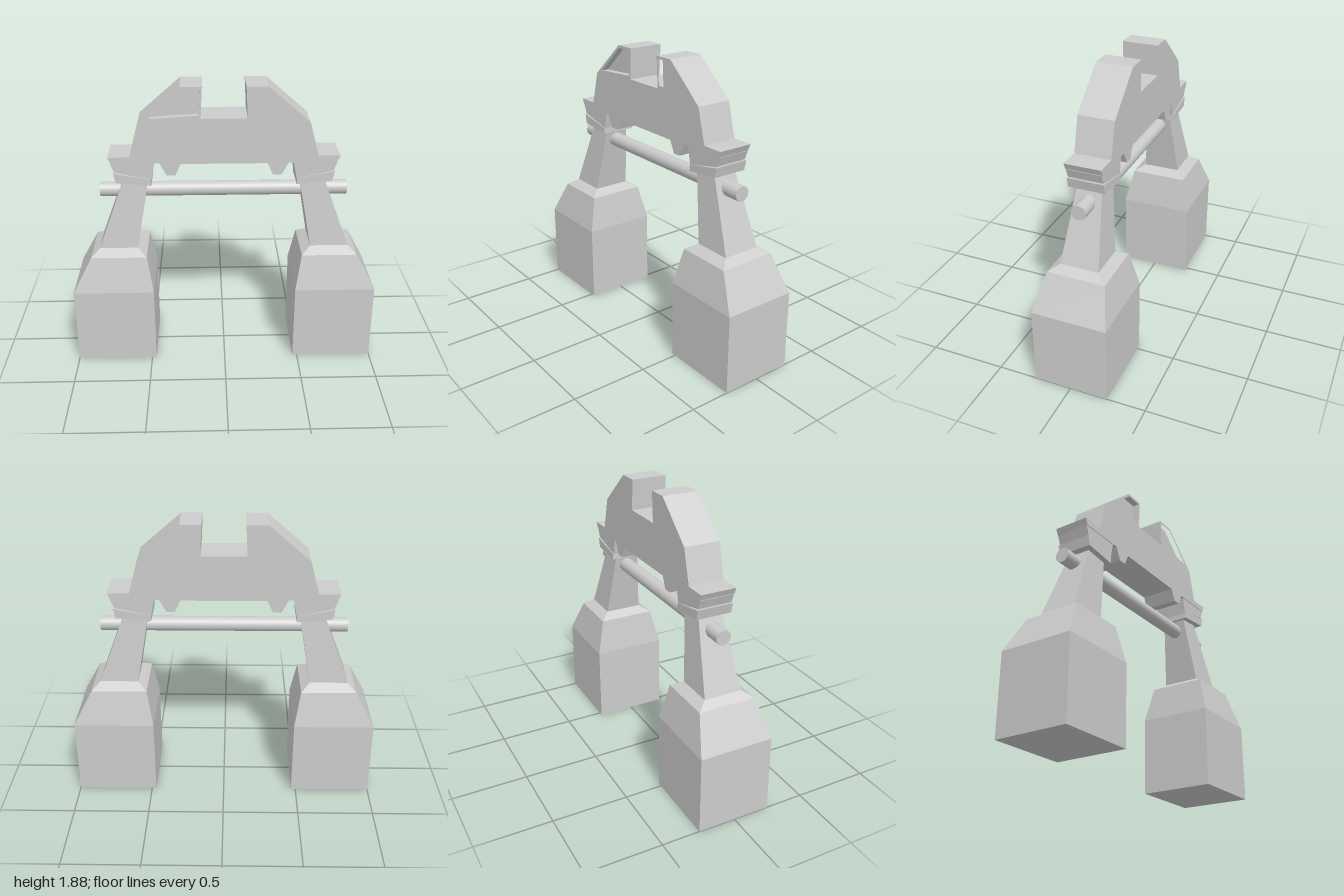
import * as THREE from 'three';

const material = new THREE.MeshStandardMaterial({ color: 0xcccccc, flatShading: true });
const smooth = new THREE.MeshStandardMaterial({ color: 0xcccccc });
const Z_BACK = -0.12, Z_FRONT = 0.115, Z_RECESS = 0.07, Z_MID = -0.003;

function addMesh(parent, name, geometry, mat = material) {
  const mesh = new THREE.Mesh(geometry, mat);
  mesh.name = name;
  parent.add(mesh);
  return mesh;
}

const toVectors = (points, side = 1) => points.map(([x, y]) => new THREE.Vector2(x * side, y));

// Extrude a front-facing outline between two depths
function slab(shape, z0, z1) {
  const geometry = new THREE.ExtrudeGeometry(shape, { depth: z1 - z0, bevelEnabled: false });
  return geometry.translate(0, 0, z0);
}

// Closed loft through rectangles given as [y, xMin, xMax, zHalf]
function loft(levels) {
  const positions = [], index = [];
  levels.forEach(([y, x0, x1, z]) => positions.push(
    x0, y, Z_MID + z, x1, y, Z_MID + z, x1, y, Z_MID - z, x0, y, Z_MID - z));
  for (let i = 0; i < levels.length - 1; i++) {
    for (let j = 0; j < 4; j++) {
      const a = i * 4 + j, b = i * 4 + (j + 1) % 4;
      index.push(a, b, b + 4, a, b + 4, a + 4);
    }
  }
  const t = (levels.length - 1) * 4;
  index.push(0, 2, 1, 0, 3, 2, t, t + 1, t + 2, t, t + 2, t + 3);
  const indexed = new THREE.BufferGeometry();
  indexed.setAttribute('position', new THREE.Float32BufferAttribute(positions, 3));
  indexed.setIndex(index);
  const geometry = indexed.toNonIndexed();
  geometry.computeVertexNormals();
  return geometry;
}

// Half outline of the bridge, from the central notch round to the underside
const bridgeHalf = [
  [0.145, 1.68], [0.135, 1.88], [0.27, 1.88], [0.535, 1.65], [0.595, 1.43], [0.735, 1.43],
  [0.715, 1.387], [0.408, 1.387], [0.365, 1.305], [0.31, 1.305], [0.275, 1.383],
];
const windowOutline = [[0.158, 1.70], [0.15, 1.863], [0.265, 1.863], [0.468, 1.68]];

const legLevels = [
  [0, 0.47, 1.0, 0.245], [0.52, 0.47, 1.0, 0.245], [0.755, 0.51, 0.875, 0.19],
  [0.795, 0.57, 0.82, 0.125], [1.27, 0.485, 0.642, 0.078],
];
const collarUpper = [[0.44, 1.388], [0.72, 1.388], [0.697, 1.328], [0.462, 1.275]];
const collarLower = [[0.465, 1.277], [0.705, 1.322], [0.69, 1.257], [0.465, 1.235]];

function bridgeShape() {
  const mirrored = bridgeHalf.slice().reverse().map(([x, y]) => [-x, y]);
  return new THREE.Shape(toVectors([...bridgeHalf, ...mirrored]));
}

export function createModel() {
  const group = new THREE.Group();
  group.name = 'archGate';

  // Bridge: solid back, and a front plate with two recessed windows
  const bridge = new THREE.Group();
  bridge.name = 'bridge';
  group.add(bridge);
  addMesh(bridge, 'bridgeBody', slab(bridgeShape(), Z_BACK, Z_RECESS));
  const plate = bridgeShape();
  for (const side of [1, -1]) plate.holes.push(new THREE.Path(toVectors(windowOutline, side)));
  addMesh(bridge, 'bridgeFrontPlate', slab(plate, Z_RECESS, Z_FRONT));

  // Legs with their two-part slanted collars
  for (const side of [1, -1]) {
    const leg = new THREE.Group();
    leg.name = side > 0 ? 'leftLeg' : 'rightLeg';
    group.add(leg);
    const levels = legLevels.map(([y, a, b, z]) => (side > 0 ? [y, a, b, z] : [y, -b, -a, z]));
    addMesh(leg, 'pillar', loft(levels));
    addMesh(leg, 'collarUpper',
      slab(new THREE.Shape(toVectors(collarUpper, side)), Z_BACK + 0.005, Z_FRONT - 0.005));
    addMesh(leg, 'collarLower',
      slab(new THREE.Shape(toVectors(collarLower, side)), Z_BACK, Z_FRONT));
  }

  // Round crossbar through both legs
  const bar = addMesh(group, 'crossbar', new THREE.CylinderGeometry(0.048, 0.048, 1.61, 32), smooth);
  bar.rotation.z = Math.PI / 2;
  bar.position.set(0, 1.167, Z_MID);

  return group;
}
